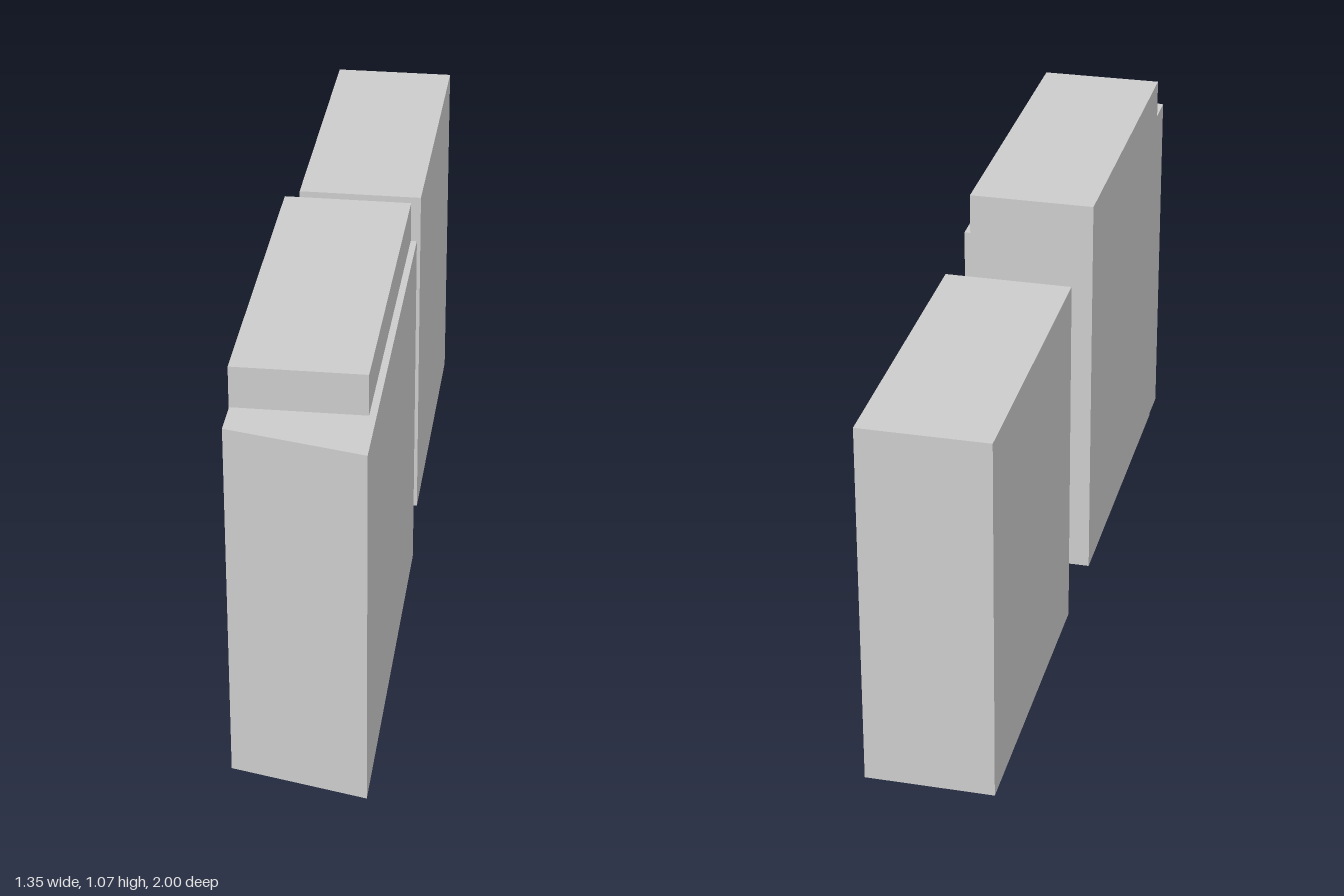
import * as THREE from 'three';

const material = new THREE.MeshStandardMaterial({ color: 0xcccccc, flatShading: true });

// Upright prism over a ground footprint given as [x, z] corners.
function prism(name, footprint, bottom, top) {
  const shape = new THREE.Shape(footprint.map(([x, z]) => new THREE.Vector2(x, -z)));
  const geometry = new THREE.ExtrudeGeometry(shape, { depth: top - bottom, bevelEnabled: false });
  geometry.rotateX(-Math.PI / 2);
  geometry.translate(0, bottom, 0);
  const mesh = new THREE.Mesh(geometry, material);
  mesh.name = name;
  return mesh;
}

export function createModel() {
  const group = new THREE.Group();
  group.name = 'buildingBlocks';

  // Detached block at the back
  group.add(prism('backBlock', [[0.4, -1], [0.676, -0.831], [0.246, -0.13], [-0.03, -0.3]], 0.003, 0.967));

  // Taller core of the front block
  group.add(prism('frontCore', [[-0.163, -0.085], [0.114, 0.085], [-0.351, 0.842], [-0.628, 0.674]], 0, 1.074));

  // Lower body with a slanted front end, just inside the core's flush faces
  group.add(prism('frontBody', [[-0.161, -0.083], [0.127, 0.094], [-0.427, 1], [-0.678, 0.757]], 0.003, 0.967));

  return group;
}
